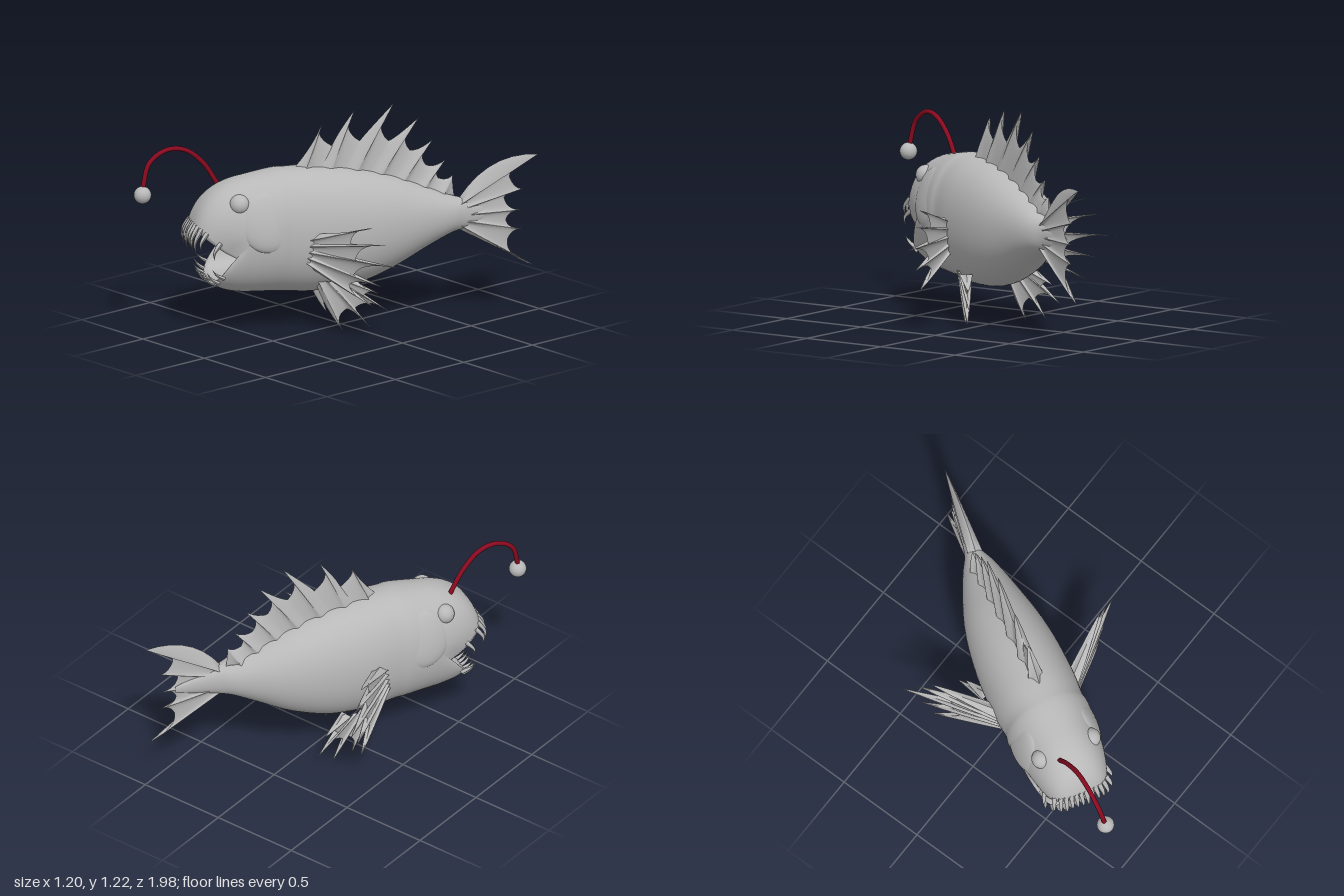
import * as THREE from 'three';

const skin = new THREE.MeshStandardMaterial({ color: 0xb8b8b8 });
skin.name = 'greySkin';
const red = new THREE.MeshStandardMaterial({ color: 0x8a0a20 });
red.name = 'redStalk';

const V = (x, y, z) => new THREE.Vector3(x, y, z);
const spow = (v, p) => Math.sign(v) * Math.abs(v) ** p;

function add(parent, name, geometry, material = skin) {
  const mesh = new THREE.Mesh(geometry, material);
  mesh.name = name;
  parent.add(mesh);
  return mesh;
}

function surface(pos, idx) {
  const geo = new THREE.BufferGeometry();
  geo.setAttribute('position', new THREE.Float32BufferAttribute(pos, 3));
  geo.setIndex(idx);
  geo.computeVertexNormals();
  return geo;
}

// Curved tooth that tapers to a point
function spike(points, radius, power = 1.6, sides = 6) {
  const n = 10;
  const curve = new THREE.CatmullRomCurve3(points);
  const geo = new THREE.TubeGeometry(curve, n, radius, sides);
  const pos = geo.attributes.position, p = V(0, 0, 0);
  for (let i = 0; i < pos.count; i++) {
    const t = Math.floor(i / (sides + 1)) / n;
    p.fromBufferAttribute(pos, i).lerp(curve.getPointAt(t), Math.min(t ** power, 0.97));
    pos.setXYZ(i, p.x, p.y, p.z);
  }
  geo.computeVertexNormals();
  return geo;
}

// Fleshy spined fin in its own xy plane, thick at the root and along each spine.
// edge = [tip, notch, tip, notch, ... tip]; curl(t) bows the spines sideways.
function finGeometry({ start, end, c0, c1, edge, rootA, rootB, thick, web, curl }) {
  const P = a => new THREE.Vector2(...a);
  const pts = edge.map(P), gaps = pts.length - 1;
  const root = s => P(rootA).lerp(P(rootB), s);
  // Control point that leaves a tip along its spine
  const control = (tipIndex, notch) => {
    const s = tipIndex / gaps, tip = pts[tipIndex];
    const dir = root(s).sub(tip).normalize();
    const reach = Math.max(0.02, notch.clone().sub(tip).dot(dir)) * 0.85;
    const side = new THREE.Vector2(dir.y, -dir.x).multiplyScalar(reach * curl(s));
    return tip.clone().addScaledVector(dir, reach).add(side);
  };
  const curves = [[P(start), P(c0), pts[0]]];
  for (let i = 0; i < gaps; i++) {
    curves.push([pts[i], i % 2 ? control(i + 1, pts[i]) : control(i, pts[i + 1]), pts[i + 1]]);
  }
  curves.push([pts[gaps], P(c1), P(end)]);
  const per = 7, rows = 12, cols = curves.length * per;
  const pos = [], idx = [];
  for (const face of [1, -1]) {
    const base = pos.length / 3;
    for (let i = 0; i <= cols; i++) {
      const k = Math.min(Math.floor(i / per), curves.length - 1), f = i / per - k;
      const rim = new THREE.QuadraticBezierCurve(...curves[k]).getPoint(f);
      const r = root(THREE.MathUtils.clamp((i / per - 1) / gaps, 0, 1));
      const spine = 0.5 + 0.5 * Math.cos((i / per - 1) * Math.PI);
      const border = i === 0 || i === cols ? 0 : 1;
      for (let j = 0; j <= rows; j++) {
        const t = j / rows, p = r.clone().lerp(rim, t);
        const h = border * (web + (thick - web) * spine ** 1.5) * (1 - t) ** 0.75;
        pos.push(p.x, p.y, face * h);
        if (i === cols || j === rows) continue;
        const a = base + i * (rows + 1) + j, b = a + rows + 1;
        if (face > 0) idx.push(a, b, b + 1, a, b + 1, a + 1);
        else idx.push(a, b + 1, b, a, a + 1, b + 1);
      }
    }
  }
  return surface(pos, idx);
}

// Rim of the open mouth
function lip(a) {
  const s = Math.sin(a);
  return V(0.185 * spow(Math.cos(a), 0.6), 0.455 + 0.155 * spow(s, 0.7),
    0.605 + (s > 0 ? 0.215 : 0.12) * Math.abs(s) ** 0.6);
}

// Body skin: tail to gills, out over the head to the lips, then back into the mouth
function bodyGeometry() {
  // z, top, bottom, half width
  const st = [[-0.95, 0.6, 0.56, 0.006], [-0.8, 0.64, 0.52, 0.028], [-0.71, 0.665, 0.495, 0.05],
    [-0.63, 0.685, 0.475, 0.09], [-0.5, 0.74, 0.41, 0.14], [-0.3, 0.82, 0.3, 0.2],
    [-0.08, 0.875, 0.22, 0.235], [0.15, 0.9, 0.2, 0.243], [0.29, 0.9, 0.21, 0.234],
    [0.36, 0.898, 0.215, 0.242], [0.52, 0.87, 0.22, 0.225]];
  const mids = new THREE.CatmullRomCurve3(st.map(s => V(s[0], (s[1] + s[2]) / 2, (s[1] - s[2]) / 2)), false, 'catmullrom');
  const wide = new THREE.CatmullRomCurve3(st.map(s => V(s[0], s[3], 0)), false, 'catmullrom');
  const section = (t, a) => {
    const m = mids.getPoint(t), w = wide.getPoint(t).y;
    const bend = 0.03 * THREE.MathUtils.smoothstep(-m.x, 0.3, 0.8);
    return V(bend + w * spow(Math.cos(a), 0.92), m.y + m.z * spow(Math.sin(a), 0.95), m.x);
  };
  const rings = [];
  for (let i = 0; i <= 40; i++) rings.push(a => section(i / 40, a));
  for (let i = 1; i <= 14; i++) {
    const t = i / 14;
    rings.push(a => {
      const p = section(1, a), q = lip(a);
      const c = V(p.x + (q.x - p.x) * 0.15, p.y + (q.y - p.y) * 0.15, q.z - 0.05);
      return new THREE.QuadraticBezierCurve3(p, c, q).getPoint(t);
    });
  }
  for (const [scale, back] of [[0.93, 0.1], [0.9, 0.45], [0.84, 0.8], [0.6, 0.95], [0.02, 1]]) {
    rings.push(a => {
      const q = lip(a);
      return V(q.x * scale, 0.455 + (q.y - 0.455) * scale, q.z + (0.42 - q.z) * back);
    });
  }
  const n = 64, pos = [], idx = [];
  rings.forEach((ring, i) => {
    for (let j = 0; j < n; j++) {
      pos.push(...ring(j / n * Math.PI * 2).toArray());
      if (i === rings.length - 1) continue;
      const a = i * n + j, b = i * n + (j + 1) % n;
      idx.push(a, b, a + n, b, b + n, a + n);
    }
  });
  return surface(pos, idx);
}

function addTeeth(fish) {
  const at = (x, up) => lip(up * Math.acos(spow(x / 0.185, 1 / 0.6)));
  for (let i = 0; i < 14; i++) {
    const x = -0.18 + 0.36 * i / 13;
    const p = at(x, 1), len = (0.09 + 0.035 * ((i * 5) % 4) / 3) * (1 - 0.35 * (x / 0.18) ** 4);
    const out = V(p.x * 0.12, 0, 0.025);
    add(fish, 'upperTooth', spike([p.clone().add(V(0, 0.025, -0.015)),
      p.clone().add(out).add(V(0, -len * 0.4, 0)),
      p.clone().addScaledVector(out, 0.8).add(V(0, -len, 0))], 0.014));
  }
  for (let i = 0; i < 12; i++) {
    const x = -0.168 + 0.336 * i / 11;
    const p = at(x, -1), len = 0.035 + 0.02 * ((i * 5) % 3) / 2;
    add(fish, 'lowerTooth', spike([p.clone().add(V(0, -0.015, -0.015)),
      p.clone().add(V(x * 0.1, len * 0.3, 0.03)),
      p.clone().add(V(x * 0.15, len, 0.055))], 0.012));
  }
}

export function createModel() {
  const model = new THREE.Group();
  model.name = 'deepSeaFish';
  const fish = new THREE.Group();
  fish.name = 'fish';
  fish.position.set(-0.05, 0, -0.01);
  fish.rotation.y = -0.489;
  model.add(fish);

  add(fish, 'body', bodyGeometry());
  addTeeth(fish);

  // Fins along the middle
  const dorsal = add(fish, 'dorsalFin', finGeometry({
    start: [-0.26, 0.87], c0: [-0.15, 0.98], end: [0.66, 0.67], c1: [0.65, 0.73],
    edge: [[-0.08, 1.13], [-0.02, 1.0], [0.1, 1.195], [0.13, 1.02], [0.32, 1.22], [0.29, 1.01], [0.46, 1.13],
      [0.41, 0.95], [0.54, 1.0], [0.5, 0.86], [0.61, 0.88], [0.57, 0.78], [0.65, 0.79]],
    rootA: [-0.2, 0.84], rootB: [0.58, 0.67], thick: 0.05, web: 0.032, curl: () => 0.25
  }));
  const tail = add(fish, 'tailFin', finGeometry({
    start: [0.68, 0.67], c0: [0.85, 0.92], end: [0.68, 0.49], c1: [0.86, 0.39],
    edge: [[1.12, 0.89], [0.96, 0.77], [1.04, 0.7], [0.93, 0.655], [1.03, 0.58], [0.94, 0.53],
      [1.03, 0.47], [0.95, 0.42], [1.1, 0.26]],
    rootA: [0.68, 0.64], rootB: [0.68, 0.52], thick: 0.042, web: 0.028, curl: t => 0.2 * (1 - 2 * t)
  }));
  dorsal.rotation.y = Math.PI / 2;
  tail.rotation.y = Math.PI / 2 - 0.03;
  tail.position.x = 0.012;

  // Paired parts
  for (const side of [1, -1]) {
    const label = side > 0 ? 'left' : 'right';
    const pairedFin = (name, x, z, turn, spec) => {
      const part = add(fish, label + name, finGeometry(spec));
      part.position.set(side * x, 0, z);
      part.rotation.y = side > 0 ? turn : Math.PI - turn;
    };
    pairedFin('PectoralFin', 0.22, 0.17, 0.73, {
      start: [-0.04, 0.57], c0: [0.16, 0.6], end: [-0.04, 0.38], c1: [0.1, 0.32],
      edge: [[0.38, 0.67], [0.23, 0.545], [0.46, 0.585], [0.26, 0.465], [0.55, 0.47], [0.25, 0.385],
        [0.44, 0.345], [0.22, 0.325], [0.38, 0.225]],
      rootA: [-0.03, 0.54], rootB: [-0.03, 0.41], thick: 0.042, web: 0.028, curl: t => 0.15 * (1 - 2 * t)
    });
    pairedFin('VentralFin', 0.135, 0.13, 1.2, {
      start: [0.2, 0.3], c0: [0.24, 0.25], end: [-0.03, 0.3], c1: [0.02, 0.14],
      edge: [[0.33, 0.22], [0.23, 0.19], [0.39, 0.12], [0.2, 0.14], [0.28, 0.03], [0.15, 0.13], [0.13, 0.005]],
      rootA: [0.17, 0.29], rootB: [0, 0.29], thick: 0.036, web: 0.024, curl: t => 0.15 * (1 - 2 * t)
    });

    const eye = add(fish, label + 'Eye', new THREE.SphereGeometry(0.055, 24, 16));
    eye.position.set(side * 0.147, 0.75, 0.58);
    const cheek = add(fish, label + 'Cheek', new THREE.SphereGeometry(1, 32, 20));
    cheek.scale.set(0.05, 0.17, 0.16);
    cheek.position.set(side * 0.182, 0.65, 0.43);
    cheek.rotation.z = side * 0.25;
  }

  // Lure
  const stalk = new THREE.CatmullRomCurve3([V(-0.415, 0.81, 0.53), V(-0.445, 0.94, 0.61), V(-0.48, 1.025, 0.71),
    V(-0.52, 1.035, 0.81), V(-0.555, 0.97, 0.905), V(-0.56, 0.83, 0.95)]);
  add(model, 'lureStalk', new THREE.TubeGeometry(stalk, 40, 0.013, 12), red);
  add(model, 'lureBulb', new THREE.SphereGeometry(0.048, 28, 18)).position.set(-0.556, 0.8, 0.953);
  return model;
}
